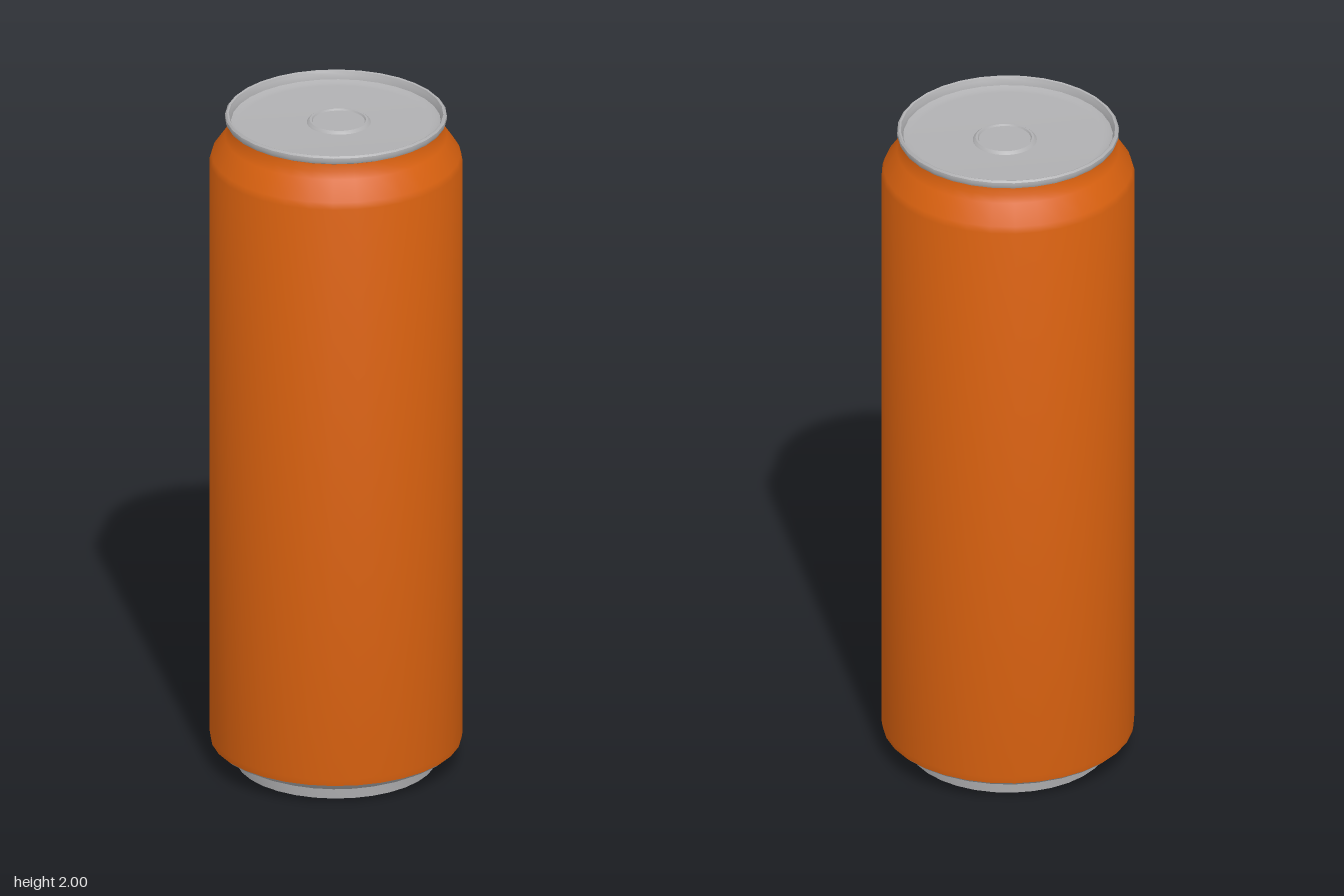
import * as THREE from 'three';
import { toCreasedNormals } from 'three/addons/utils/BufferGeometryUtils.js';

const SIDES = 32;
const orange = new THREE.MeshStandardMaterial({ color: 0xd9610f });
orange.name = 'orange paint';
const silver = new THREE.MeshStandardMaterial({ color: 0xb0b0b2 });
silver.name = 'silver metal';

// Turned part from [radius, height] pairs, listed so the surface faces outward
function turned(name, profile, material, sides = SIDES) {
  const points = profile.map(([r, y]) => new THREE.Vector2(r, y));
  const geometry = toCreasedNormals(new THREE.LatheGeometry(points, sides), 0.6);
  const mesh = new THREE.Mesh(geometry, material);
  mesh.name = name;
  return mesh;
}

export function createModel() {
  const can = new THREE.Group();
  can.name = 'can';

  // Painted wall with the tapered shoulder and short neck
  can.add(turned('body', [
    [0.357, 0.07], [0.36, 0.09], [0.36, 1.855], [0.354, 1.875],
    [0.316, 1.93], [0.305, 1.95], [0.302, 1.975],
  ], orange));

  // Domed underside, standing ring and flared lower edge
  can.add(turned('base', [
    [0, 0.06], [0.1, 0.054], [0.19, 0.037], [0.26, 0.012], [0.275, 0],
    [0.285, 0], [0.288, 0.03], [0.315, 0.043], [0.348, 0.062], [0.357, 0.07],
  ], silver));

  // Rolled rim
  can.add(turned('rim', [
    [0.302, 1.972], [0.312, 1.977], [0.316, 1.986], [0.315, 1.995],
    [0.31, 2], [0.305, 1.998], [0.301, 1.99], [0.298, 1.972],
  ], silver));

  // Recessed lid
  can.add(turned('lid', [[0.299, 1.975], [0.285, 1.969], [0.27, 1.968], [0, 1.968]], silver));

  // Small raised ring on the lid, slightly off centre
  const ring = turned('lidRing', [
    [0.092, 1.967], [0.088, 1.972], [0.083, 1.976], [0.077, 1.976],
    [0.074, 1.971], [0, 1.97],
  ], silver);
  ring.position.set(0.012, 0, -0.004);
  can.add(ring);

  return can;
}
